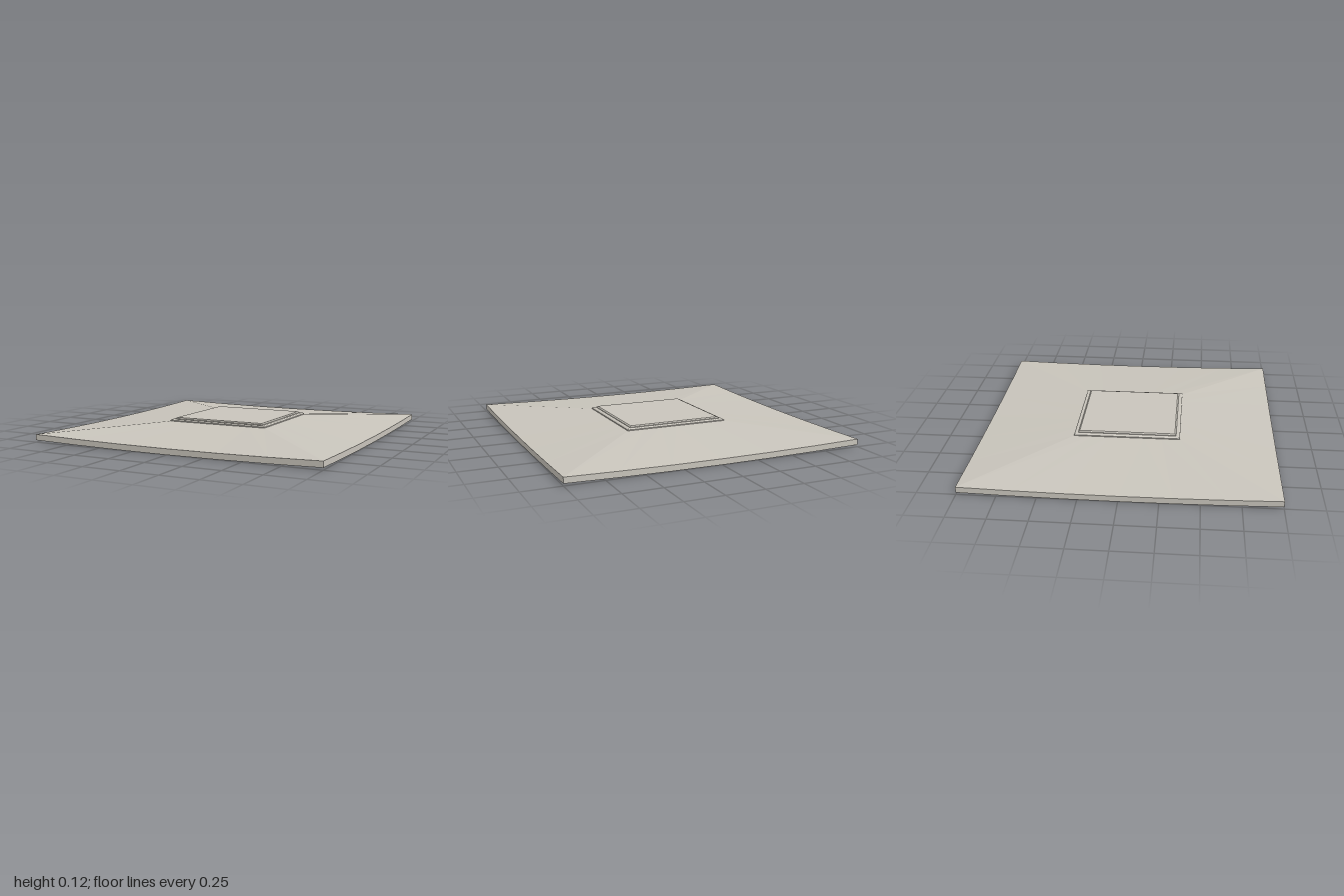
import * as THREE from 'three';

const SEGMENTS = 6; // divisions along each side of a square ring

// Square ring with half-width r; sag lowers the middle of each side below its corners.
function squareRing(r, y, sag = 0) {
  const points = [];
  for (let side = 0; side < 4; side++) {
    for (let i = 0; i < SEGMENTS; i++) {
      const t = (2 * i) / SEGMENTS - 1;
      const p = new THREE.Vector3(t * r, y - sag * (1 - t * t), r);
      points.push(p.applyAxisAngle(new THREE.Vector3(0, 1, 0), side * Math.PI / 2));
    }
  }
  return points;
}

// Skin a list of rings from first to last, with outward faces and flat shading.
function loft(rings) {
  const positions = [];
  const tri = (...corners) => corners.forEach(p => positions.push(p.x, p.y, p.z));
  for (let k = 0; k + 1 < rings.length; k++) {
    const low = rings[k], high = rings[k + 1], n = low.length;
    for (let i = 0; i < n; i++) {
      const j = (i + 1) % n;
      tri(low[i], low[j], high[j]);
      tri(low[i], high[j], high[i]);
    }
  }
  const geometry = new THREE.BufferGeometry();
  geometry.setAttribute('position', new THREE.Float32BufferAttribute(positions, 3));
  geometry.computeVertexNormals();
  return geometry;
}

export function createModel() {
  const group = new THREE.Group();
  const stone = new THREE.MeshStandardMaterial({ color: 0xc8c4bb });
  stone.name = 'pale stone';

  const add = (name, rings) => {
    const mesh = new THREE.Mesh(loft(rings), stone);
    mesh.name = name;
    group.add(mesh);
  };

  const eaveBottom = squareRing(1, 0.014, 0.014);
  const eaveTop = squareRing(1, 0.052, 0.014);

  // Shallow hipped roof with upswept corners
  add('underside', [squareRing(0, 0), eaveBottom]);
  add('eaveEdge', [eaveBottom, eaveTop]);
  add('roofSlopes', [eaveTop, squareRing(0.35, 0.096)]);

  // Two bevelled square steps on top
  add('lowerStep', [
    squareRing(0.357, 0.09), squareRing(0.357, 0.102),
    squareRing(0.348, 0.108), squareRing(0.32, 0.108),
  ]);
  add('upperStep', [
    squareRing(0.331, 0.106), squareRing(0.331, 0.112),
    squareRing(0.322, 0.119), squareRing(0, 0.119),
  ]);
  return group;
}
